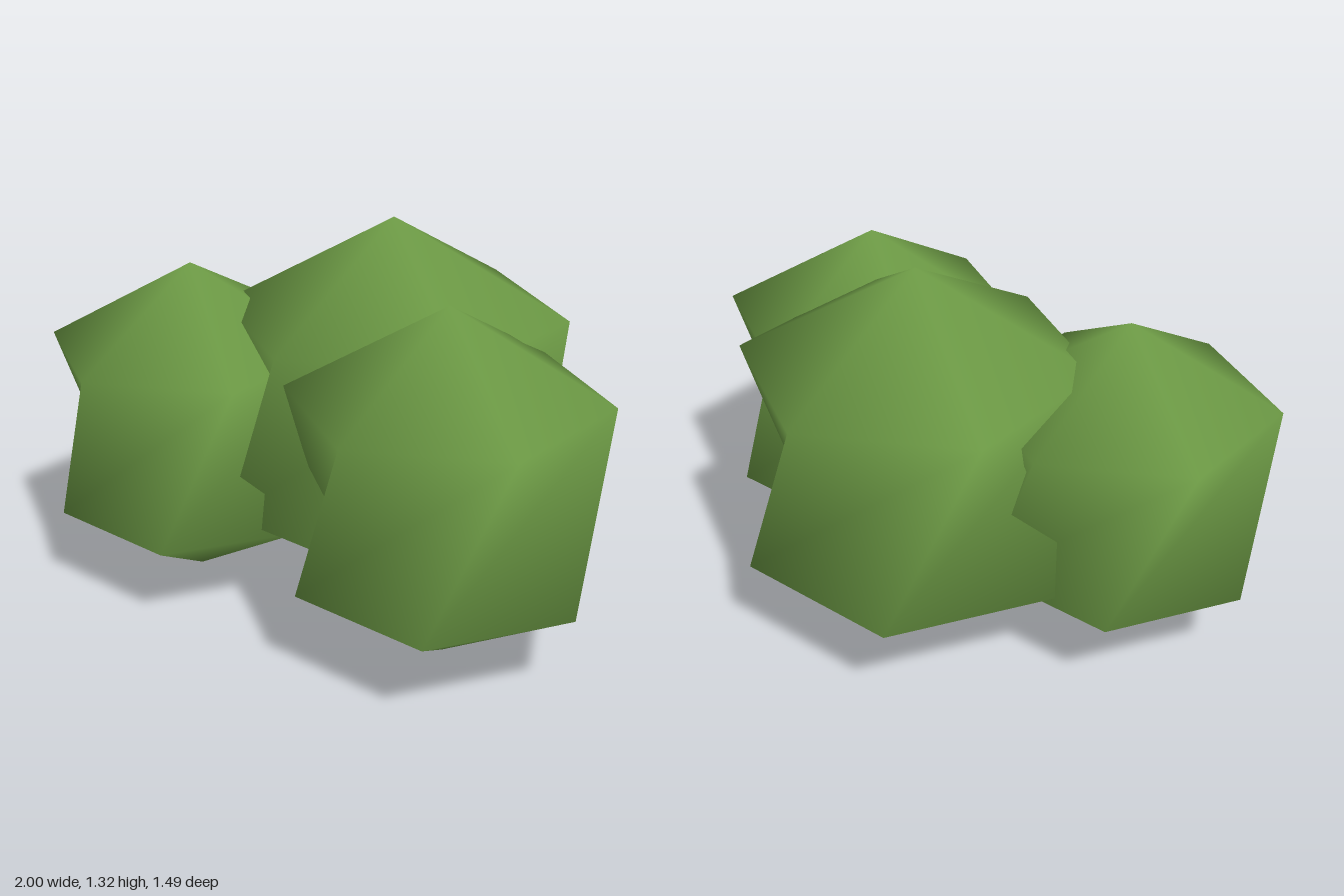
import * as THREE from 'three';

const SIDES = 6;

// Six-sided leaf clump: two poles and two rings, the lower ring twisted half a step.
// The side faces follow the twist, leaving shallow creases between the ridges.
function clumpGeometry(height, upperRadius, lowerRadius) {
  const h = height / 2;
  const points = [0, h, 0, 0, -h, 0];
  const ring = (radius, y, startDegrees) => {
    for (let i = 0; i < SIDES; i++) {
      const a = THREE.MathUtils.degToRad(startDegrees + i * 60);
      points.push(Math.cos(a) * radius, y, Math.sin(a) * radius);
    }
  };
  ring(upperRadius, h * 0.505, 30);
  ring(lowerRadius, -h * 0.505, 60);

  const upper = i => 2 + (i % SIDES);
  const lower = i => 2 + SIDES + (i % SIDES);
  const faces = [];
  for (let i = 0; i < SIDES; i++) {
    faces.push(0, upper(i + 1), upper(i)); // top cap
    faces.push(upper(i), lower(i + 1), lower(i)); // side
    faces.push(upper(i), upper(i + 1), lower(i + 1));
    faces.push(1, lower(i), lower(i + 1)); // bottom cap
  }

  const geometry = new THREE.BufferGeometry();
  geometry.setAttribute('position', new THREE.Float32BufferAttribute(points, 3));
  geometry.setIndex(faces);
  geometry.computeVertexNormals();
  return geometry;
}

export function createModel() {
  const group = new THREE.Group();
  group.name = 'bush';
  const leaf = new THREE.MeshStandardMaterial({ color: 0x71a048 });
  leaf.name = 'leaf green';

  const clumps = [
    { name: 'backClump', at: [0.03, 0.662, -0.16], height: 1.32, upper: 0.587, lower: 0.592 },
    { name: 'leftClump', at: [0.5, 0.61, 0.155], height: 1.19, upper: 0.515, lower: 0.5 },
    { name: 'rightClump', at: [-0.52, 0.585, 0.24], height: 1.13, upper: 0.498, lower: 0.483 },
  ];
  for (const c of clumps) {
    const mesh = new THREE.Mesh(clumpGeometry(c.height, c.upper, c.lower), leaf);
    mesh.name = c.name;
    mesh.position.set(...c.at);
    group.add(mesh);
  }
  return group;
}
